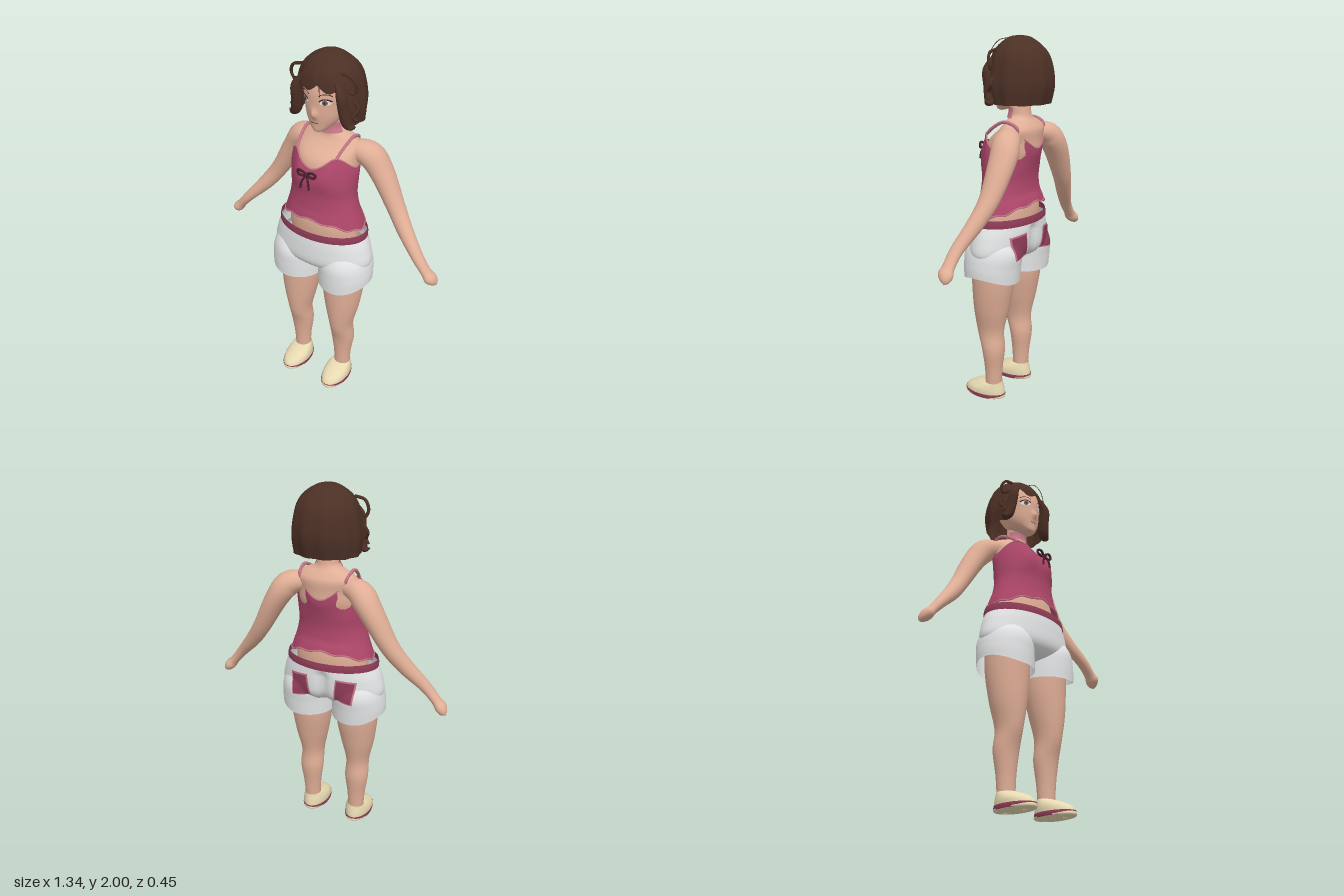
import * as THREE from 'three';

const V = (x, y, z) => new THREE.Vector3(x, y, z);
const bell = (v, w) => Math.exp(-((v / w) ** 2));
const clamp01 = v => Math.min(1, Math.max(0, v));

// Smooth surface through sections [x, y, z, radiusAcross, radiusDepth]; angle 0 faces the front
function surface(sections, bend) {
  const centre = new THREE.CatmullRomCurve3(sections.map(s => V(s[0], s[1], s[2])), false, 'catmullrom', 0.5);
  const radius = new THREE.CatmullRomCurve3(sections.map(s => V(s[3], s[4], 0)), false, 'catmullrom', 0.5);
  return (a, t) => {
    const p = centre.getPoint(t), r = radius.getPoint(t), d = centre.getTangent(t);
    const len = Math.hypot(d.x, d.y) || 1, across = Math.max(0, r.x) * Math.sin(a) / len;
    const q = V(p.x + d.y * across, p.y - d.x * across, p.z + Math.max(0, r.y) * Math.cos(a));
    if (bend) bend(q, a, t);
    return q;
  };
}

// Mesh grid over a surface; arc < PI leaves it open at the back, end(a) trims its length
function skinOver(surf, cols = 32, rows = 24, arc = Math.PI, end = () => 1) {
  const closed = arc === Math.PI, n = closed ? cols : cols + 1, pos = [], index = [];
  for (let i = 0; i <= rows; i++) for (let j = 0; j < n; j++) {
    const a = -arc + 2 * arc * j / cols;
    pos.push(...surf(a, i / rows * end(a)).toArray());
  }
  for (let i = 0; i < rows; i++) for (let j = 0; j < cols; j++) {
    const a = i * n + j, b = i * n + (j + 1) % n, c = a + n, d = b + n;
    index.push(a, b, c, b, d, c);
  }
  const g = new THREE.BufferGeometry();
  g.setAttribute('position', new THREE.Float32BufferAttribute(pos, 3));
  g.setIndex(index);
  g.computeVertexNormals();
  return g;
}

const tube = (pts, r, closed = false) => new THREE.TubeGeometry(
  new THREE.CatmullRomCurve3(pts, closed), closed ? 96 : 24, r, 6, closed);

// Drapes a flat shape onto a mesh, seen along z from the front (1) or back (-1)
function drape(g, x, y, target, lift, dir = 1) {
  if (dir < 0) g.rotateY(Math.PI);
  g.translate(x, y, 0);
  const p = g.attributes.position, ray = new THREE.Raycaster();
  for (let i = 0; i < p.count; i++) {
    ray.set(V(p.getX(i), p.getY(i), 2 * dir), V(0, 0, -dir));
    const hit = ray.intersectObjects(target, false)[0];
    p.setZ(i, (hit ? hit.point.z : 0) + lift * dir);
  }
  g.computeVertexNormals();
  return g;
}

export function createModel() {
  const model = new THREE.Group();
  const mat = (name, color) => {
    const m = new THREE.MeshStandardMaterial({ color, side: THREE.DoubleSide });
    m.name = name;
    return m;
  };
  const skin = mat('skin', 0xe0ae96), hairBrown = mat('hair brown', 0x4c3025), berry = mat('berry', 0xb0476b),
    maroon = mat('maroon', 0x8f3c57), rose = mat('rose', 0xc47686), white = mat('white', 0xe4e5e6),
    cream = mat('cream', 0xe6d8b0), dark = mat('dark', 0x4a2030), iris = mat('iris', 0x7a6a48);
  const add = (name, g, m) => {
    const mesh = new THREE.Mesh(g, m);
    mesh.name = name;
    model.add(mesh);
    return mesh;
  };

  // Torso and neck
  add('torso', skinOver(surface([
    [0, 0.95, 0.02, 0.2, 0.12], [0, 1.08, 0.02, 0.205, 0.13], [0, 1.2, 0.02, 0.175, 0.115],
    [0, 1.3, 0.02, 0.165, 0.12], [0, 1.4, 0, 0.173, 0.137], [0, 1.47, -0.012, 0.17, 0.128],
    [0, 1.525, -0.045, 0.17, 0.095], [0, 1.56, -0.05, 0.135, 0.07], [0, 1.59, -0.042, 0.068, 0.058],
    [0, 1.63, -0.038, 0.056, 0.055], [0, 1.72, -0.03, 0.055, 0.055]]), 40, 50), skin);
  add('choker', skinOver(surface([[0, 1.585, -0.038, 0.077, 0.066], [0, 1.61, -0.036, 0.064, 0.06],
    [0, 1.64, -0.034, 0.06, 0.06]]), 24, 8, 1.5), rose);

  // Head with a small nose
  const head = add('head', skinOver(surface([
    [0, 1.613, 0.082, 0, 0], [0, 1.625, 0.066, 0.032, 0.034], [0, 1.66, 0.025, 0.072, 0.08],
    [0, 1.7, 0.01, 0.093, 0.1], [0, 1.76, -0.01, 0.107, 0.124], [0, 1.84, -0.025, 0.122, 0.135],
    [0, 1.92, -0.03, 0.1, 0.105], [0, 1.965, -0.03, 0, 0]],
  q => { if (q.z > 0) q.z += 0.02 * bell(q.x, 0.016) * bell(q.y - 1.72, 0.022); }), 64, 44), skin);
  head.updateMatrixWorld();

  // Face details
  const disc = (w, h) => new THREE.CircleGeometry(1, 20).scale(w, h, 1);
  const arch = (w, h, inner) => new THREE.RingGeometry(inner, 1, 16, 1, 0.25, Math.PI - 0.5).scale(w, h, 1);
  for (const s of [1, -1]) {
    add('eyeWhite', drape(disc(0.025, 0.015), s * 0.056, 1.787, [head], 0.003), white);
    add('iris', drape(disc(0.012, 0.014), s * 0.055, 1.787, [head], 0.005), iris);
    add('pupil', drape(disc(0.005, 0.007), s * 0.055, 1.787, [head], 0.007), dark);
    add('lashes', drape(arch(0.03, 0.021, 0.72), s * 0.057, 1.787, [head], 0.006), dark);
    add('eyebrow', drape(arch(0.032, 0.016, 0.8), s * 0.056, 1.815, [head], 0.004), hairBrown);
  }
  add('mouth', drape(new THREE.PlaneGeometry(0.044, 0.005, 8, 1), 0, 1.672, [head], 0.003), maroon);

  // Bobbed hair, cut away around the face with a jagged fringe
  const hairSurf = surface([
    [0, 2, -0.035, 0, 0], [0, 1.99, -0.035, 0.055, 0.055], [0, 1.95, -0.037, 0.118, 0.11],
    [0, 1.9, -0.042, 0.153, 0.147], [0, 1.83, -0.045, 0.172, 0.165], [0, 1.75, -0.045, 0.182, 0.17],
    [0, 1.66, -0.05, 0.174, 0.145]],
  (q, a, t) => {
    const k = 1 + 0.025 * t * Math.cos(11 * a);
    q.x *= k;
    q.z = -0.04 + (q.z + 0.04) * k;
  });
  add('hair', skinOver(hairSurf, 110, 36, Math.PI, a => {
    const f = Math.abs(a), fringe = 0.57 + 0.08 * Math.abs(Math.sin(4.5 * a + 0.5));
    return fringe + (1 - fringe) * clamp01((f - 0.72) / 0.2);
  }), hairBrown);
  for (const s of [1, -1]) {
    add('sideLock', skinOver(surface([
      [s * 0.09, 1.9, 0.07, 0.005, 0.005], [s * 0.128, 1.83, 0.075, 0.024, 0.03], [s * 0.136, 1.75, 0.06, 0.026, 0.036],
      [s * 0.148, 1.69, 0.05, 0.026, 0.034], [s * 0.17, 1.668, 0.045, 0.016, 0.025],
      [s * 0.195, 1.675, 0.045, 0.001, 0.002]]), 12, 24), hairBrown);
    add('looseCurl', tube([V(s * 0.11, 1.93, 0.04), V(s * 0.165, 1.915, 0.04), V(s * 0.188, 1.87, 0.03),
      V(s * 0.172, 1.835, 0.03), V(s * 0.15, 1.85, 0.05)], 0.008), hairBrown);
    add('curlTip', tube([V(s * 0.165, 1.8, 0.02), V(s * 0.19, 1.76, 0.02), V(s * 0.175, 1.72, 0.04),
      V(s * 0.19, 1.7, 0.03)], 0.009), hairBrown);
  }
  add('strayStrand', tube([V(0.02, 1.99, 0), V(0.03, 1.97, 0.08), V(0.04, 1.9, 0.128), V(0.05, 1.83, 0.14)], 0.002), hairBrown);

  // Camisole: wavy hem, scooped neck and back, low under the arms
  const topSurf = surface([
    [0, 1.113, 0.018, 0.235, 0.155], [0, 1.15, 0.02, 0.22, 0.148], [0, 1.2, 0.023, 0.2, 0.138],
    [0, 1.27, 0.022, 0.187, 0.135], [0, 1.35, 0.018, 0.188, 0.145], [0, 1.42, 0.008, 0.188, 0.15],
    [0, 1.465, 0, 0.182, 0.146]],
  (q, a) => {
    const up = clamp01((q.y - 1.32) / 0.145), down = clamp01((1.2 - q.y) / 0.087), wave = -0.034 * Math.cos(4 * a);
    if (q.z > 0) for (const s of [1, -1]) q.z += 0.012 * bell(q.x - s * 0.085, 0.055) * bell(q.y - 1.38, 0.06);
    const tuck = 1 - 2.4 * up * Math.max(0, wave);
    q.x *= tuck;
    q.z *= tuck;
    q.y += up * wave + down * (0.028 * Math.cos(2 * a) + 0.006 * Math.cos(10 * a));
  });
  const top = add('camisole', skinOver(topSurf, 64, 36), berry);
  top.updateMatrixWorld();
  for (const t of [0, 1]) {
    const edge = Array.from({ length: 60 }, (_, i) => topSurf(i / 60 * Math.PI * 2, t));
    add(t ? 'neckTrim' : 'hemTrim', tube(edge, 0.0045, true), rose);
  }
  for (const s of [1, -1]) {
    const front = topSurf(s * Math.PI / 4, 1), back = topSurf(s * Math.PI * 0.75, 1);
    add('strap', tube([front, V(s * 0.128, 1.54, 0.045), V(s * 0.137, 1.573, -0.03), V(s * 0.13, 1.545, -0.1), back], 0.009), rose);
  }

  // Bow on the neckline
  for (const s of [1, -1]) {
    add('bowLoop', tube([V(0, 1.415, 0.182), V(s * 0.03, 1.437, 0.19), V(s * 0.052, 1.43, 0.185),
      V(s * 0.045, 1.41, 0.187)], 0.007, true), dark);
    add('bowTail', tube([V(0, 1.415, 0.185), V(s * 0.018, 1.385, 0.2), V(s * 0.026, 1.345, 0.205)], 0.006), dark);
  }
  add('bowKnot', new THREE.SphereGeometry(0.012, 12, 8).translate(0, 1.415, 0.186), dark);

  // Shorts: hips, two wide legs and a waistband
  const hips = add('shortsHips', skinOver(surface([
    [0, 0.8, 0.035, 0.1, 0.05], [0, 0.83, 0.035, 0.24, 0.12], [0, 0.88, 0.034, 0.296, 0.16],
    [0, 0.97, 0.03, 0.282, 0.166], [0, 1.04, 0.028, 0.256, 0.162]],
  q => { if (q.z < 0) q.z += 0.03 * bell(q.x, 0.03) * clamp01((1.04 - q.y) / 0.05); }), 64, 28), white);
  add('waistband', skinOver(surface([[0, 1.03, 0.028, 0.262, 0.166], [0, 1.05, 0.028, 0.262, 0.166],
    [0, 1.072, 0.028, 0.257, 0.162]]), 48, 6), maroon);
  const shorts = [hips];
  for (const s of [1, -1]) {
    shorts.push(add('shortsLeg', skinOver(surface([
      [s * 0.13, 0.96, 0.03, 0.1, 0.12], [s * 0.147, 0.88, 0.034, 0.14, 0.157], [s * 0.152, 0.8, 0.04, 0.15, 0.157],
      [s * 0.152, 0.718, 0.043, 0.15, 0.152]],
    (q, a, t) => { q.y += 0.04 * t * t * t * clamp01((s * q.x - 0.15) / 0.15) ** 2; }), 40, 20), white));
  }
  shorts.forEach(m => m.updateMatrixWorld());

  // Back pockets with a darker stitched panel
  for (const s of [1, -1]) {
    const panel = (w, h) => new THREE.PlaneGeometry(w, h, 8, 8).rotateZ(s * 0.12);
    add('pocketBorder', drape(panel(0.11, 0.13), s * 0.13, 0.92, shorts, 0.005, -1), rose);
    add('pocket', drape(panel(0.094, 0.114), s * 0.13, 0.92, shorts, 0.009, -1), mat === null ? rose : berryPocket());
  }
  function berryPocket() { return maroon; }

  // Arms, legs and slip-on shoes
  for (const s of [1, -1]) {
    add('arm', skinOver(surface([
      [s * 0.1, 1.5, -0.055, 0.04, 0.05], [s * 0.2, 1.475, -0.085, 0.066, 0.075], [s * 0.27, 1.385, -0.1, 0.06, 0.072],
      [s * 0.365, 1.22, -0.09, 0.048, 0.055], [s * 0.445, 1.11, -0.06, 0.042, 0.045], [s * 0.545, 1, -0.022, 0.03, 0.036],
      [s * 0.605, 0.93, -0.015, 0.025, 0.034], [s * 0.633, 0.897, -0.017, 0.03, 0.042],
      [s * 0.653, 0.872, -0.025, 0.02, 0.026], [s * 0.664, 0.858, -0.03, 0, 0]]), 24, 48), skin);
    add('leg', skinOver(surface([
      [s * 0.142, 0.86, 0.045, 0.122, 0.118], [s * 0.14, 0.7, 0.045, 0.118, 0.115], [s * 0.143, 0.55, 0.055, 0.096, 0.1],
      [s * 0.143, 0.41, 0.062, 0.066, 0.078], [s * 0.144, 0.3, 0.044, 0.068, 0.064], [s * 0.143, 0.18, 0.044, 0.052, 0.05],
      [s * 0.142, 0.06, 0.046, 0.045, 0.044]]), 28, 36), skin);
    add('shoe', skinOver(surface([
      [s * 0.14, 0, 0.104, 0, 0], [s * 0.14, 0.003, 0.104, 0.068, 0.118], [s * 0.14, 0.03, 0.104, 0.073, 0.123],
      [s * 0.14, 0.058, 0.094, 0.071, 0.108], [s * 0.141, 0.083, 0.068, 0.06, 0.075],
      [s * 0.142, 0.098, 0.045, 0.049, 0.048]]), 36, 24), cream);
    add('soleStripe', skinOver(surface([[s * 0.14, 0.007, 0.104, 0.074, 0.124], [s * 0.14, 0.018, 0.104, 0.076, 0.126],
      [s * 0.14, 0.03, 0.104, 0.075, 0.125]]), 36, 4), maroon);
  }
  return model;
}
